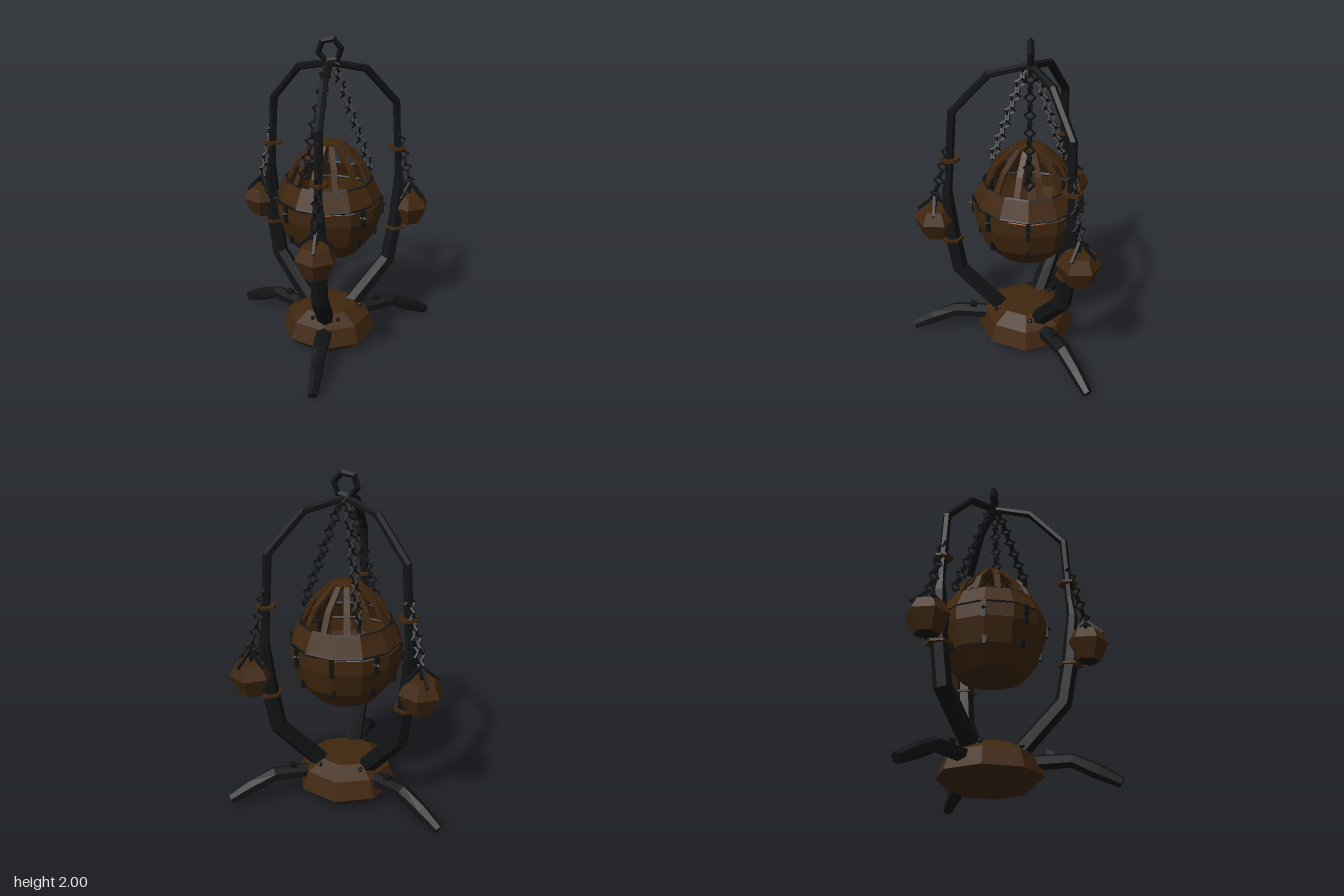
import * as THREE from 'three';

const brown = new THREE.MeshStandardMaterial({ color: 0x40270f, side: THREE.DoubleSide });
brown.name = 'rusty brown';
const iron = new THREE.MeshStandardMaterial({ color: 0x111315, side: THREE.DoubleSide });
iron.name = 'black iron';
const ember = new THREE.MeshStandardMaterial({ color: 0xb0643a });
ember.name = 'ember orange';

// Faceted mesh added to a parent
function add(parent, name, geometry, material, x = 0, y = 0, z = 0) {
  const g = geometry.index ? geometry.toNonIndexed() : geometry;
  g.computeVertexNormals();
  const mesh = new THREE.Mesh(g, material);
  mesh.name = name;
  mesh.position.set(x, y, z);
  parent.add(mesh);
  return mesh;
}

// Bar swept along points [radius z, height y, half width, half thickness]
function limb(points, sides = 6) {
  const pos = [], index = [];
  points.forEach(([z, y, w, h], i) => {
    const a = points[Math.max(i - 1, 0)], b = points[Math.min(i + 1, points.length - 1)];
    const len = Math.hypot(b[0] - a[0], b[1] - a[1]);
    const tz = (b[0] - a[0]) / len, ty = (b[1] - a[1]) / len;
    for (let k = 0; k < sides; k++) {
      const t = ((k + 0.5) / sides) * Math.PI * 2;
      const s = Math.sin(t) * h;
      pos.push(Math.cos(t) * w, y + tz * s, z - ty * s);
    }
  });
  for (let i = 0; i < points.length - 1; i++) {
    for (let k = 0; k < sides; k++) {
      const a = i * sides + k, b = i * sides + ((k + 1) % sides);
      index.push(a, b, b + sides, a, b + sides, a + sides);
    }
  }
  const last = (points.length - 1) * sides;
  for (let k = 1; k < sides - 1; k++) {
    index.push(0, k + 1, k, last, last + k, last + k + 1);
  }
  const g = new THREE.BufferGeometry();
  g.setAttribute('position', new THREE.Float32BufferAttribute(pos, 3));
  g.setIndex(index);
  return g;
}

function lathe(profile, sides) {
  return new THREE.LatheGeometry(profile.map(([r, y]) => new THREE.Vector2(r, y)), sides);
}

// Diamond links, each turned a quarter from the one before
function chain(parent, name, from, to, count) {
  const group = new THREE.Group();
  group.name = name;
  parent.add(group);
  const a = new THREE.Vector3(...from), b = new THREE.Vector3(...to);
  const aim = new THREE.Quaternion().setFromUnitVectors(
    new THREE.Vector3(0, 1, 0), b.clone().sub(a).normalize());
  for (let i = 0; i < count; i++) {
    const link = add(group, 'chainLink', new THREE.TorusGeometry(0.03, 0.009, 4, 4), iron);
    link.position.lerpVectors(a, b, i / (count - 1));
    link.quaternion.copy(aim);
    link.rotateY((i % 2) * Math.PI / 2 + 0.3);
  }
}

function spun(parent, name, angle) {
  const g = new THREE.Group();
  g.name = name;
  g.rotation.y = angle;
  parent.add(g);
  return g;
}

function hangingLantern(parent) {
  const lantern = new THREE.Group();
  lantern.name = 'smallLantern';
  lantern.position.z = 0.565;
  parent.add(lantern);
  add(lantern, 'lanternBody',
    lathe([[0.07, 0.75], [0.08, 0.75], [0.13, 0.865], [0.09, 0.94], [0, 0.945]], 6), brown);
  add(lantern, 'lanternBase', new THREE.CylinderGeometry(0.07, 0.07, 0.01, 6), iron, 0, 0.757, 0);
  for (let i = 0; i < 4; i++) {
    const side = spun(lantern, 'lanternStrap', i * Math.PI / 2 + parent.rotation.y);
    add(side, 'strap', limb([[0.1, 0.93, 0.012, 0.012], [0.06, 0.965, 0.012, 0.012], [0, 1.02, 0.012, 0.012]], 4), iron);
  }
  add(lantern, 'lanternStem', new THREE.CylinderGeometry(0.012, 0.012, 0.09, 4), iron, 0, 0.99, 0);
}

export function createModel() {
  const model = new THREE.Group();
  model.name = 'hangingBrazier';
  const root = new THREE.Group();
  root.name = 'stand';
  root.position.z = -0.175;
  model.add(root);

  // Faceted base
  add(root, 'base',
    lathe([[0, 0.01], [0.23, 0.01], [0.31, 0.08], [0.27, 0.19], [0.17, 0.25], [0, 0.26]], 8), brown);

  // Three legs with their arms, clamps and small lanterns
  for (let i = 0; i < 3; i++) {
    const leg = spun(root, 'leg', i * Math.PI * 2 / 3);
    add(leg, 'foot', limb([[0.2, 0.155, 0.055, 0.045], [0.46, 0.165, 0.05, 0.042],
      [0.6, 0.1, 0.042, 0.045], [0.73, 0.035, 0.03, 0.032]]), iron);
    add(leg, 'footBolt', new THREE.BoxGeometry(0.04, 0.025, 0.04), iron, 0, 0.21, 0.34);
    for (const s of [-1, 1]) {
      add(leg, 'baseStud', new THREE.IcosahedronGeometry(0.016, 0), iron, s * 0.08, 0.235, 0.19);
    }
    add(leg, 'lowerArm', limb([[0.15, 0.2, 0.055, 0.055], [0.42, 0.5, 0.055, 0.052],
      [0.465, 0.76, 0.052, 0.05], [0.485, 1.05, 0.045, 0.032], [0.475, 1.18, 0.025, 0.012]]), iron);
    add(leg, 'upperArm', limb([[0.482, 1.02, 0.026, 0.024], [0.445, 1.57, 0.026, 0.026],
      [0.235, 1.795, 0.026, 0.024], [0, 1.85, 0.024, 0.02]]), iron);
    add(leg, 'upperClamp', new THREE.CylinderGeometry(0.06, 0.06, 0.014, 6), brown, 0, 1.27, 0.465);
    add(leg, 'lowerClamp', new THREE.CylinderGeometry(0.075, 0.075, 0.014, 6), brown, 0, 0.73, 0.465);
    chain(leg, 'lanternChain', [0, 1.36, 0.47], [0, 1.03, 0.56], 8);
    hangingLantern(leg);
  }

  // Ring at the crown
  add(root, 'crownRing', new THREE.TorusGeometry(0.068, 0.019, 4, 6), iron, 0, 1.922, 0).rotation.z = 0.2;

  // Large globe of stacked plates with narrow gaps
  const globe = new THREE.Group();
  globe.name = 'globe';
  root.add(globe);
  add(globe, 'globeBowl', lathe([[0, 0.665], [0.2, 0.67], [0.29, 0.785]], 12), brown);
  add(globe, 'globeMiddle', lathe([[0.29, 0.785], [0.333, 0.93], [0.335, 1.015]], 12), brown);
  add(globe, 'globeShoulder', lathe([[0.327, 1.032], [0.275, 1.14]], 12), brown);
  for (const [r, y] of [[0.284, 0.8], [0.321, 1.023], [0.268, 1.137]]) {
    const hoop = add(globe, 'globeHoop', new THREE.TorusGeometry(r, 0.009, 4, 12), iron, 0, y, 0);
    hoop.rotation.x = Math.PI / 2;
  }

  // Straps and spikes around the globe
  for (let i = 0; i < 8; i++) {
    const side = spun(globe, 'globeFitting', i * Math.PI / 4);
    add(side, 'globeStrap', new THREE.BoxGeometry(0.025, 0.11, 0.02), iron, 0, 0.97, 0.328);
    add(side, 'globeSpike', new THREE.ConeGeometry(0.022, 0.04, 4), iron, 0, 0.975, 0.342).rotation.x = Math.PI / 2;
    add(side, 'lowerStrap', new THREE.BoxGeometry(0.025, 0.05, 0.02), iron, 0, 0.795, 0.289);
  }

  // Open dome of curved ribs
  for (let i = 0; i < 12; i++) {
    const side = spun(globe, 'domeRib', (i + 0.5) * Math.PI / 6);
    add(side, 'rib', limb([[0.262, 1.12, 0.026, 0.012], [0.2, 1.25, 0.026, 0.012],
      [0.085, 1.355, 0.024, 0.012], [0, 1.365, 0.014, 0.01]], 4), brown);
  }

  // Glowing coal in the bowl
  add(globe, 'ember', new THREE.IcosahedronGeometry(0.14, 0), ember, 0, 0.8, 0);

  // Three chains holding the globe, one toward the model's left
  for (let i = 0; i < 3; i++) {
    const a = i * Math.PI * 2 / 3;
    chain(root, 'globeChain', [Math.cos(a) * 0.03, 1.83, Math.sin(a) * 0.03],
      [Math.cos(a) * 0.245, 1.23, Math.sin(a) * 0.245], 14);
  }
  return model;
}
